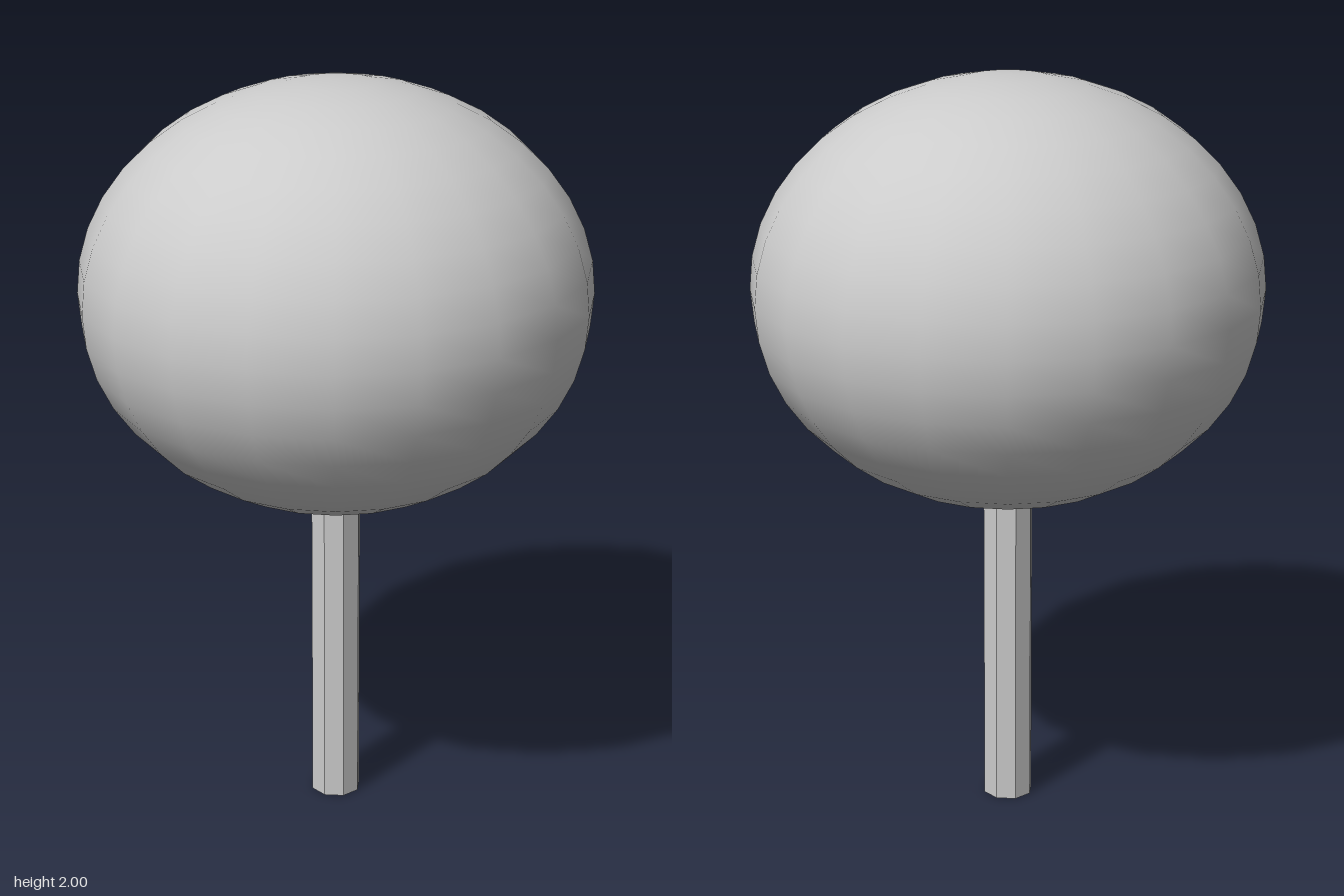
import * as THREE from 'three';

export function createModel() {
  const model = new THREE.Group();

  // Octagonal trunk, its top tucked into the crown
  const trunkHeight = 0.9;
  const trunk = new THREE.Mesh(
    new THREE.CylinderGeometry(0.068, 0.068, trunkHeight, 8),
    new THREE.MeshStandardMaterial({ color: 0xcccccc, flatShading: true })
  );
  trunk.name = 'trunk';
  trunk.position.y = trunkHeight / 2;

  // Smooth crown: a slightly flattened sphere
  const crownRadius = 0.673;
  const crownHalfHeight = 0.5625;
  const crown = new THREE.Mesh(
    new THREE.SphereGeometry(1, 20, 20).scale(crownRadius, crownHalfHeight, crownRadius),
    new THREE.MeshStandardMaterial({ color: 0xcccccc })
  );
  crown.name = 'crown';
  crown.position.y = 2 - crownHalfHeight;

  model.add(trunk, crown);
  return model;
}
